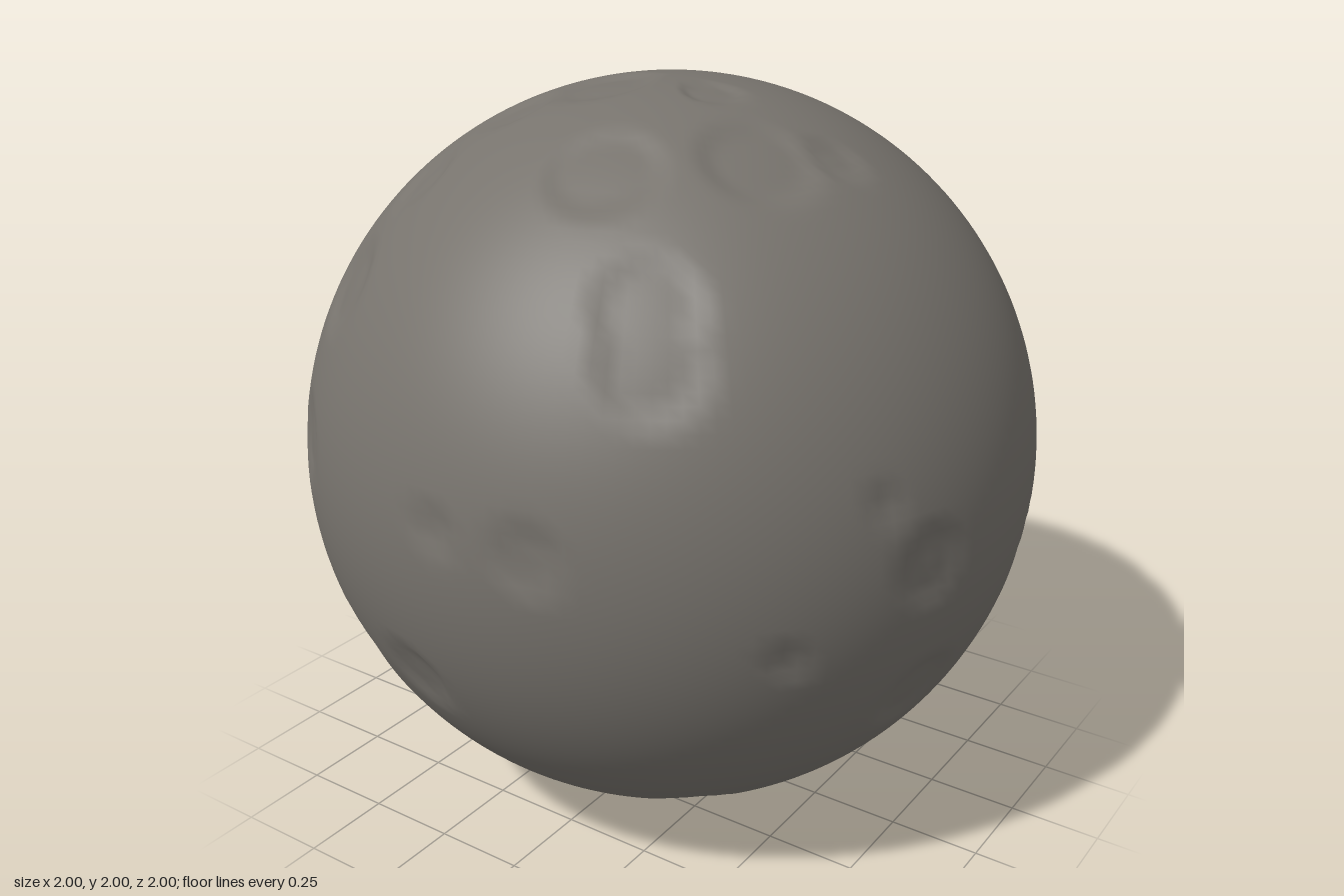
import * as THREE from 'three';
import { mergeVertices } from 'three/addons/utils/BufferGeometryUtils.js';

// Each side lists its main craters as [across, up, radius], seen along azimuth and elevation in degrees
const sides = [
  { azimuth: 0, elevation: 0, craters: [
    [-0.62, 0.11, 0.12], [-0.62, -0.32, 0.13], [-0.47, -0.45, 0.14], [-0.14, -0.38, 0.11],
    [0.26, 0.07, 0.1], [0.45, 0.5, 0.15], [-0.38, -0.6, 0.07], [0.01, 0.09, 0.07],
  ] },
  { azimuth: 90, elevation: 0, craters: [
    [-0.2, -0.43, 0.14], [-0.63, -0.19, 0.06], [-0.43, 0.17, 0.06], [-0.3, -0.02, 0.12],
    [0.36, -0.22, 0.16], [0.38, -0.5, 0.13], [0.71, 0.2, 0.15], [0.78, -0.05, 0.11],
    [0.67, 0.5, 0.11], [-0.42, -0.83, 0.11],
  ] },
  { azimuth: 0, elevation: 90, craters: [
    [-0.12, -0.13, 0.15], [-0.3, -0.26, 0.11], [-0.44, -0.48, 0.11], [-0.54, -0.67, 0.14],
    [0.14, -0.49, 0.17], [0.17, -0.07, 0.09], [0.42, -0.25, 0.17], [0.52, -0.06, 0.09],
    [0.5, 0.56, 0.12], [-0.32, 0.2, 0.13], [-0.9, -0.25, 0.12], [0.4, -0.68, 0.15],
  ] },
  { azimuth: 215, elevation: 28, craters: [
    [-0.14, 0.01, 0.14], [0.4, -0.02, 0.08], [-0.25, -0.8, 0.11],
  ] },
  { azimuth: 145, elevation: -28, craters: [
    [0.08, 0.43, 0.12], [-0.24, -0.31, 0.16], [0.01, -0.58, 0.08],
    [0.33, -0.62, 0.08], [-0.5, -0.66, 0.14], [-0.26, -0.64, 0.1],
  ] },
];

// Turn a crater's place on one side into a direction from the centre
function craterDirection(u, v, azimuth, elevation) {
  const turn = new THREE.Euler(
    -THREE.MathUtils.degToRad(elevation), THREE.MathUtils.degToRad(azimuth), 0, 'YXZ');
  return new THREE.Vector3(u, v, Math.sqrt(1 - u * u - v * v)).applyEuler(turn);
}

export function createModel() {
  const rock = new THREE.MeshStandardMaterial({ color: 0x77736d });
  rock.name = 'grey rock';

  const craters = sides.flatMap((side) => side.craters.map(([u, v, radius]) => (
    { direction: craterDirection(u, v, side.azimuth, side.elevation), radius })));

  // Closed sphere with shared vertices, so the shading has no seam
  let geometry = new THREE.SphereGeometry(1, 160, 100);
  geometry.deleteAttribute('uv');
  geometry.deleteAttribute('normal');
  geometry = mergeVertices(geometry, 1e-5);

  // Press shallow, flat-floored bowls into the surface
  const position = geometry.attributes.position;
  const p = new THREE.Vector3();
  for (let i = 0; i < position.count; i++) {
    p.fromBufferAttribute(position, i);
    let depth = 0;
    for (const { direction, radius } of craters) {
      const t = p.distanceTo(direction) / radius;
      const bowl = 1 - THREE.MathUtils.smoothstep(t, 0.6, 1);
      depth = Math.max(depth, bowl * (0.006 + 0.06 * radius));
    }
    p.multiplyScalar(1 - depth);
    position.setXYZ(i, p.x, p.y + 1, p.z);
  }
  geometry.computeVertexNormals();

  const moon = new THREE.Mesh(geometry, rock);
  moon.name = 'crateredMoon';
  const group = new THREE.Group();
  group.name = 'moon';
  group.add(moon);
  return group;
}
